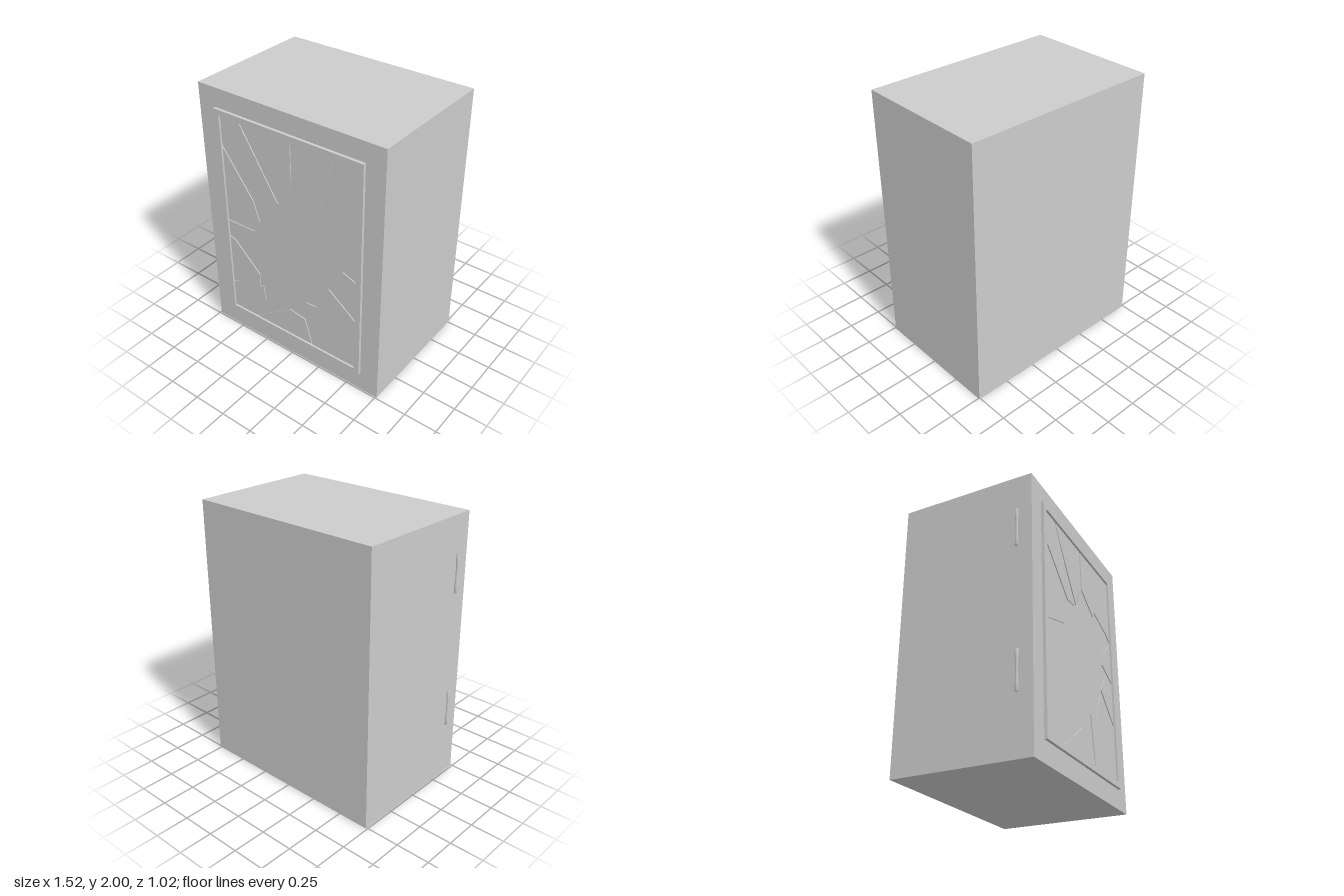
import * as THREE from 'three';

const FACE = 0.49; // front plane of the cabinet
const X0 = -0.555, X1 = 0.573, Y0 = 0.19, Y1 = 1.815; // opening inside the frame

const material = new THREE.MeshStandardMaterial({ color: 0xcccccc });

function rectPath(target, x0, y0, x1, y1) {
  target.moveTo(x0, y0);
  target.lineTo(x1, y0);
  target.lineTo(x1, y1);
  target.lineTo(x0, y1);
  target.closePath();
  return target;
}

function addMesh(parent, geometry, name, x = 0, y = 0, z = 0) {
  const mesh = new THREE.Mesh(geometry, material);
  mesh.name = name;
  mesh.position.set(x, y, z);
  parent.add(mesh);
  return mesh;
}

export function createModel() {
  const model = new THREE.Group();
  model.name = 'cabinet';

  // Solid body
  addMesh(model, new THREE.BoxGeometry(1.5, 2, 1), 'body', 0.01, 1, -0.01);

  // Raised frame around the window
  const frame = rectPath(new THREE.Shape(), -0.6, 0.148, 0.615, 1.858);
  frame.holes.push(rectPath(new THREE.Path(), X0, Y0, X1, Y1));
  addMesh(model, new THREE.ExtrudeGeometry(frame, { depth: 0.022, bevelEnabled: false }),
    'windowFrame', 0, 0, FACE);

  // Thin broken-glass shards pointing inward from the frame
  const shards = [
    [[X0, Y1], [X0, 1.6], [-0.2, 1.29], [-0.084, 1.3], [-0.396, Y1]],
    [[-0.39, Y1], [-0.06, 1.32], [-0.01, 1.44], [-0.01, 1.37], [0.039, 1.526], [0.039, Y1]],
    [[0.05, Y1], [0.06, 1.5], [0.26, 1.37], [0.383, Y1]],
    [[0.39, Y1], [0.29, 1.42], [0.506, 1.347], [X1, 1.3], [X1, Y1]],
    [[X1, 1.28], [0.432, 1.14], [0.4, 1.04], [X1, 0.96]],
    [[X1, 0.935], [0.457, 0.978], [0.358, 0.82], [X1, 0.62]],
    [[X1, 0.6], [0.34, 0.78], [0.235, 0.563], [0.383, Y0], [X1, Y0]],
    [[0.383, Y0], [0.235, 0.563], [0.285, Y0]],
    [[0.285, Y0], [0.235, 0.563], [0.137, 0.56], [0.19, Y0]],
    [[0.186, Y0], [0.129, 0.395], [-0.01, 0.417], [-0.33, Y0]],
    [[-0.34, Y0], [-0.24, 0.39], [-0.256, 0.507], [X0, 0.42], [X0, Y0]],
    [[X0, 0.43], [-0.289, 0.46], [-0.289, 0.609], [-0.51, 0.82], [X0, 0.833]],
    [[X0, 0.84], [-0.314, 0.98], [X0, 0.975]],
    [[X0, 0.99], [-0.256, 1.077], [-0.306, 1.234], [X0, 1.574]],
  ];
  const glass = new THREE.Group();
  glass.name = 'brokenGlass';
  model.add(glass);
  for (const points of shards) {
    const shape = new THREE.Shape(points.map(([x, y]) => new THREE.Vector2(x, y)));
    addMesh(glass, new THREE.ExtrudeGeometry(shape, { depth: 0.007, bevelEnabled: false }),
      'glassShard', 0, 0, FACE);
  }

  // Two slightly waisted hinge pins on the right side
  const profile = [[0, -0.14], [0.013, -0.14], [0.0125, -0.08], [0.009, -0.05],
    [0.009, 0.05], [0.0125, 0.08], [0.013, 0.14], [0, 0.14]]
    .map(([r, y]) => new THREE.Vector2(r, y));
  for (const y of [0.56, 1.59]) {
    addMesh(model, new THREE.LatheGeometry(profile, 16), 'hinge', -0.747, y, 0.382);
  }

  return model;
}
